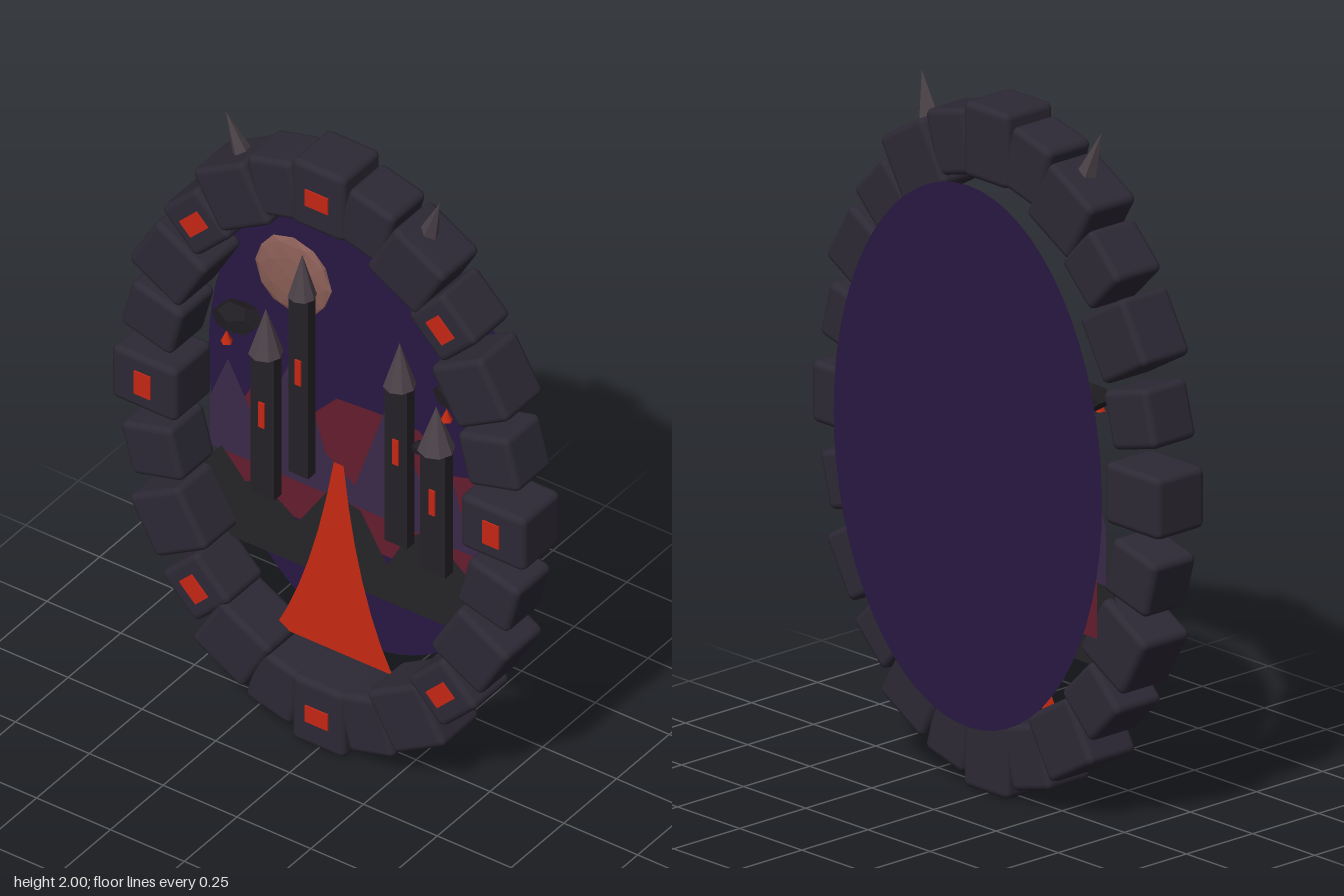
import * as THREE from 'three';
import { RoundedBoxGeometry } from 'three/addons/geometries/RoundedBoxGeometry.js';

const mat = (color, flatShading = false, side = THREE.FrontSide) =>
  new THREE.MeshStandardMaterial({ color, flatShading, side });

const M = {
  stone: mat(0x2d2935),
  gem: mat(0xc42614),
  sky: mat(0x281842, false, THREE.DoubleSide),
  moon: mat(0x8a5e56, true),
  farRange: mat(0x641c2e, false, THREE.DoubleSide),
  midRange: mat(0x3a2848, false, THREE.DoubleSide),
  nearRange: mat(0x252427, false, THREE.DoubleSide),
  lava: mat(0xc62a12, false, THREE.DoubleSide),
  tower: mat(0x242126, true),
  roof: mat(0x4c4249, true),
  rock: mat(0x201d22, true),
};

export function createModel() {
  const model = new THREE.Group();

  const add = (name, geometry, material, x, y, z, parent = model) => {
    const mesh = new THREE.Mesh(geometry, material);
    mesh.name = name;
    mesh.position.set(x, y, z);
    parent.add(mesh);
    return mesh;
  };

  // flat outline from [x, y] points
  const flat = (name, points, material, z) => {
    const shape = new THREE.Shape(points.map(([x, y]) => new THREE.Vector2(x, y)));
    return add(name, new THREE.ShapeGeometry(shape), material, 0, 0, z);
  };

  // oval ring of 24 stone blocks; sizes repeat every quarter: [tangent, radial, depth]
  const sizes = [
    [0.18, 0.22, 0.18], [0.16, 0.19, 0.165], [0.2, 0.2, 0.18], [0.17, 0.17, 0.175],
    [0.2, 0.2, 0.18], [0.17, 0.18, 0.165], [0.18, 0.22, 0.18],
  ];
  const ring = new THREE.Group();
  ring.name = 'stoneRing';
  model.add(ring);
  for (let i = 0; i < 24; i++) {
    const t = (i / 24) * Math.PI * 2;
    const k = i % 12 <= 6 ? i % 12 : 12 - (i % 12);
    const [w, h, d] = sizes[k];
    const block = new THREE.Group();
    block.name = 'ringBlock';
    block.position.set(0.59 * Math.sin(t), 1 + 0.89 * Math.cos(t), 0.03);
    block.rotation.z = -t;
    ring.add(block);
    add('stone', new RoundedBoxGeometry(w, h, d, 2, 0.02), M.stone, 0, 0, 0, block);
    // glowing inlay on every third block
    if (i % 3 === 0) add('inlay', new THREE.BoxGeometry(0.078, 0.055, 0.02), M.gem, 0, 0, 0.085, block);
  }

  // pair of horns on the upper blocks
  for (const s of [-1, 1]) {
    const horn = add('horn', new THREE.ConeGeometry(0.034, 0.16, 5), M.roof, s * 0.336, 1.922, 0.037);
    horn.rotation.set(0.1, 0, -s * 0.34);
  }

  // oval night sky behind the ring
  const sky = add('skyBackdrop', new THREE.CircleGeometry(1, 64), M.sky, 0, 1, -0.122);
  sky.scale.set(0.54, 0.79, 1);

  // flattened moons
  for (const [x, y, r] of [[-0.235, 1.4, 0.13], [0.24, 1.555, 0.062]]) {
    const moon = add('moon', new THREE.IcosahedronGeometry(r, 1), M.moon, x, y, -0.098);
    moon.scale.z = 0.14;
  }

  // three layers of mountains
  flat('farMountains', [
    [-0.48, 0.58], [0.48, 0.58], [0.48, 0.8], [0.4, 0.98], [0.3, 0.95], [0.2, 1.06],
    [0.05, 1.06], [-0.08, 1.05], [-0.2, 0.92], [-0.36, 0.98], [-0.48, 0.75],
  ], M.farRange, -0.085);
  flat('middleMountains', [
    [-0.49, 0.73], [0.49, 0.73], [0.49, 0.95], [0.44, 1.02], [0.36, 0.86], [0.29, 1.1], [0.22, 0.92],
    [0.1, 1.1], [0.0, 0.8], [-0.1, 0.87], [-0.2, 1.18], [-0.33, 0.86], [-0.43, 1.05], [-0.49, 0.9],
  ], M.midRange, -0.06);
  flat('nearMountains', [
    [-0.49, 0.47], [0.49, 0.48], [0.5, 0.74], [0.47, 0.78], [0.41, 0.67], [0.34, 0.73], [0.26, 0.77],
    [0.2, 0.73], [0.13, 0.6], [0.04, 0.75], [-0.07, 0.77], [-0.17, 0.62], [-0.3, 0.71], [-0.35, 0.68],
    [-0.43, 0.77], [-0.5, 0.68],
  ], M.nearRange, -0.03);

  // lava stream widening toward the bottom
  const stream = new THREE.Shape();
  stream.moveTo(-0.018, 0.92);
  stream.quadraticCurveTo(-0.09, 0.5, -0.215, 0.27);
  stream.lineTo(0.18, 0.27);
  stream.quadraticCurveTo(0.06, 0.5, 0.015, 0.92);
  add('lavaStream', new THREE.ShapeGeometry(stream, 6), M.lava, 0, 0, 0.015);

  // castle towers: x, width, base, wall top, roof tip, window height
  for (const [x, w, y0, y1, y2, yw] of [
    [-0.266, 0.08, 0.69, 1.175, 1.325, 0.97], [-0.143, 0.066, 0.815, 1.425, 1.565, 1.17],
    [0.187, 0.076, 0.72, 1.26, 1.405, 1.04], [0.311, 0.086, 0.675, 1.095, 1.24, 0.92],
  ]) {
    const tower = new THREE.Group();
    tower.name = 'tower';
    tower.position.set(x, 0, -0.01);
    model.add(tower);
    add('wall', new THREE.BoxGeometry(w, y1 - y0, 0.036), M.tower, 0, (y0 + y1) / 2, 0, tower);
    add('roof', new THREE.ConeGeometry(w * 0.62, y2 - y1, 8), M.roof, 0, (y1 + y2) / 2, 0, tower);
    add('window', new THREE.BoxGeometry(0.02, 0.085, 0.008), M.gem, 0, yw, 0.019, tower);
  }

  // floating rocks with a small ember below
  for (const [x, y, r] of [[-0.37, 1.245, 0.078], [0.375, 1.3, 0.075], [0.255, 1.065, 0.035]]) {
    const rock = add('floatingRock', new THREE.DodecahedronGeometry(r), M.rock, x, y, -0.02);
    rock.scale.set(1, 0.56, 0.72);
    if (r > 0.05) add('ember', new THREE.ConeGeometry(0.018, 0.04, 5), M.lava, x, y - 0.035, 0.03);
  }

  return model;
}
